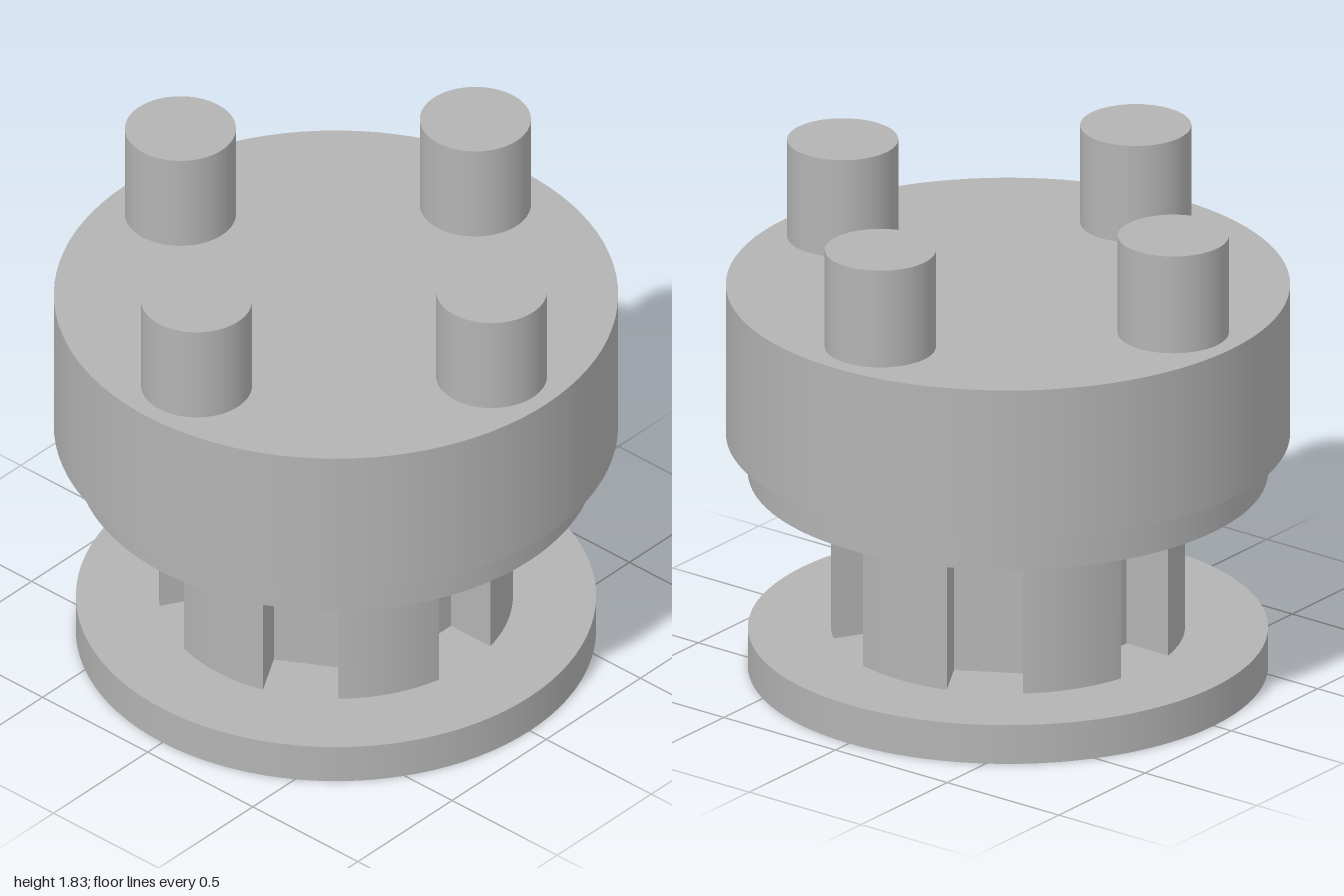
import * as THREE from 'three';
import { toCreasedNormals } from 'three/addons/utils/BufferGeometryUtils.js';

export function createModel() {
  const model = new THREE.Group();
  model.name = 'knob';
  const grey = new THREE.MeshStandardMaterial({ color: 0xb3b3b3 });
  grey.name = 'grey';

  // upright cylinder between two heights
  function disc(name, radius, y0, y1, x = 0, z = 0) {
    const mesh = new THREE.Mesh(new THREE.CylinderGeometry(radius, radius, y1 - y0, 96), grey);
    mesh.name = name;
    mesh.position.set(x, (y0 + y1) / 2, z);
    model.add(mesh);
  }

  disc('baseFlange', 0.922, 0, 0.148);
  disc('upperFlange', 0.922, 0.742, 0.89);
  disc('head', 1, 0.89, 1.46);

  // four pegs on the head
  for (let i = 0; i < 4; i++) {
    const a = i * Math.PI / 2;
    disc('peg' + (i + 1), 0.197, 1.46, 1.83, 0.74 * Math.cos(a), 0.74 * Math.sin(a));
  }

  // hub with six straight-sided, flat-bottomed slots
  const radius = 0.627, floor = 0.425, halfSlot = 0.136;
  const halfAngle = Math.asin(halfSlot / radius);
  const step = Math.PI / 3;
  const shape = new THREE.Shape();
  for (let i = 0; i < 6; i++) {
    const a = i * step;
    const corner = (side) => [
      floor * Math.cos(a) - side * halfSlot * Math.sin(a),
      floor * Math.sin(a) + side * halfSlot * Math.cos(a),
    ];
    if (i === 0) shape.moveTo(...corner(-1));
    else shape.lineTo(...corner(-1));
    shape.lineTo(...corner(1));
    shape.absarc(0, 0, radius, a + halfAngle, a + step - halfAngle, false);
  }
  shape.closePath();
  const hubGeometry = new THREE.ExtrudeGeometry(shape, {
    depth: 0.742 - 0.148, bevelEnabled: false, curveSegments: 16,
  });
  hubGeometry.rotateX(-Math.PI / 2);
  const hub = new THREE.Mesh(toCreasedNormals(hubGeometry, 0.4), grey);
  hub.name = 'slottedHub';
  hub.position.y = 0.148;
  model.add(hub);

  return model;
}
